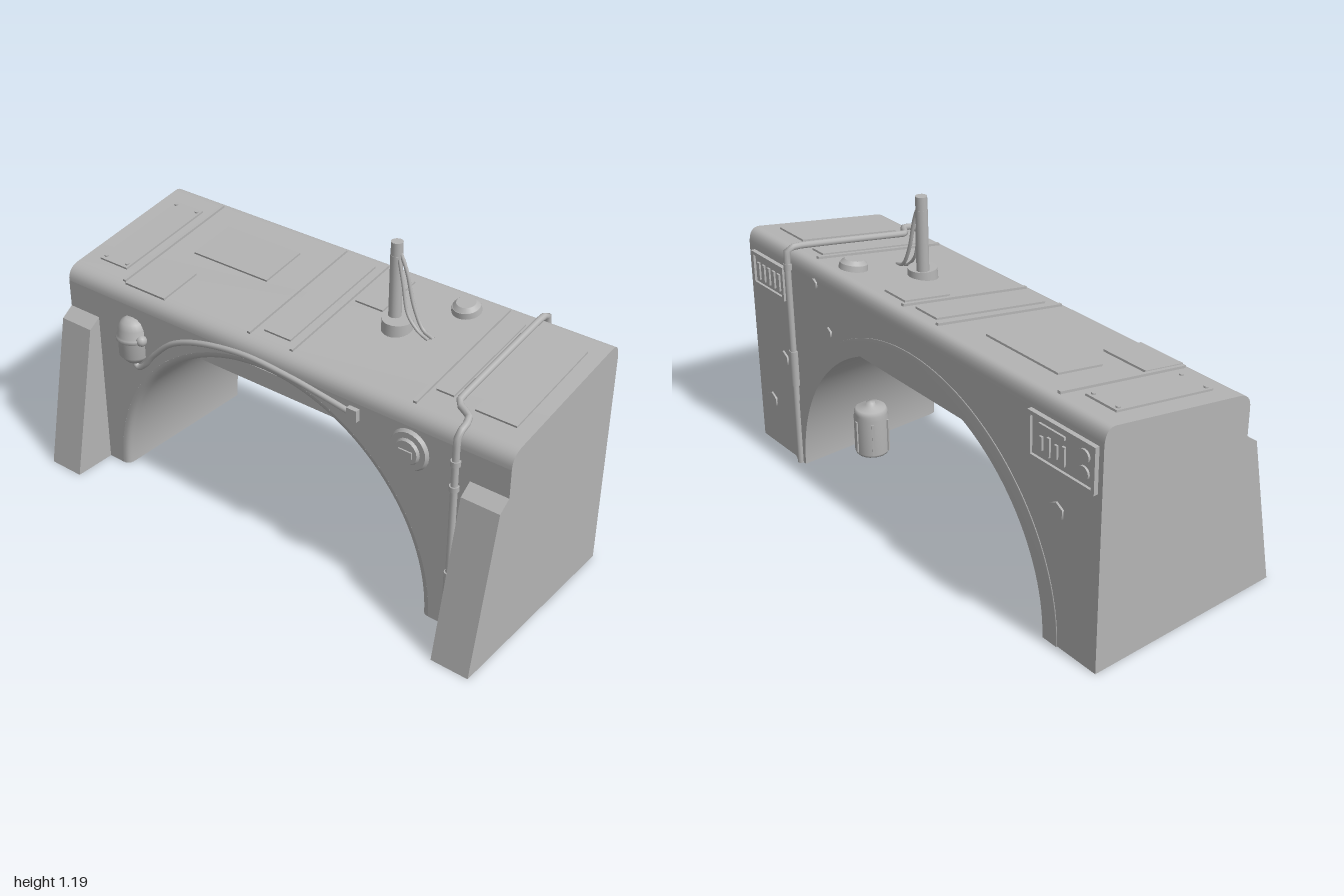
import * as THREE from 'three';

const grey = new THREE.MeshStandardMaterial({ color: 0xb4b4b4, side: THREE.DoubleSide });
grey.name = 'concrete grey';

const V3 = (p) => new THREE.Vector3(...p);
const V2 = (p) => new THREE.Vector2(...p);

function add(parent, name, geometry, x = 0, y = 0, z = 0) {
  const mesh = new THREE.Mesh(geometry, grey);
  mesh.name = name;
  mesh.position.set(x, y, z);
  parent.add(mesh);
  return mesh;
}
const box = (p, name, w, h, d, x, y, z) => add(p, name, new THREE.BoxGeometry(w, h, d), x, y, z);
const cyl = (p, name, r1, r2, h, x, y, z, n = 24) => add(p, name, new THREE.CylinderGeometry(r1, r2, h, n), x, y, z);
// Disc whose axis points along z
function disc(p, name, r1, r2, h, x, y, z, n = 24) {
  return add(p, name, new THREE.CylinderGeometry(r1, r2, h, n).rotateX(Math.PI / 2), x, y, z);
}
function tube(p, name, points, r, tension = 0.5) {
  const curve = new THREE.CatmullRomCurve3(points.map(V3), false, 'catmullrom', tension);
  return add(p, name, new THREE.TubeGeometry(curve, 80, r, 10), 0, 0, 0);
}

const FRONT = 0.255, BACK = -0.4, ARCH_X = -0.03, ARCH_R = 0.717;

// Wall with a round arch cut from its foot
function archWall(height, cx, r) {
  const s = new THREE.Shape();
  s.moveTo(-1, 0);
  s.lineTo(cx - r, 0);
  s.absarc(cx, 0, r, Math.PI, 0, true);
  s.lineTo(1, 0);
  s.lineTo(1, height);
  s.lineTo(-1, height);
  return new THREE.ShapeGeometry(s, 64);
}

function buildShell(g) {
  // Cross-section of the roof, from back to front, as (z, y)
  const back = new THREE.QuadraticBezierCurve(V2([BACK, 0.85]), V2([BACK, 0.922]), V2([-0.35, 0.913]));
  const front = new THREE.QuadraticBezierCurve(V2([0.2, 0.817]), V2([FRONT, 0.807]), V2([FRONT, 0.755]));
  const profile = [...back.getPoints(8), ...front.getPoints(8)];

  const roof = new THREE.PlaneGeometry(2, 1, 1, profile.length - 1);
  const pos = roof.attributes.position;
  for (let i = 0; i < pos.count; i++) {
    const p = profile[Math.floor(i / 2)];
    pos.setXYZ(i, pos.getX(i), p.y, p.x);
  }
  roof.computeVertexNormals();
  add(g, 'roof', roof);

  add(g, 'frontWall', archWall(0.755, ARCH_X, 0.747), 0, 0, FRONT);
  add(g, 'backWall', archWall(0.85, -ARCH_X, ARCH_R).rotateY(Math.PI), 0, 0, BACK);

  for (const s of [-1, 1]) {
    const pts = [[BACK, 0], ...profile.map((p) => [p.x, p.y]), [FRONT, 0]];
    const side = new THREE.ShapeGeometry(new THREE.Shape(pts.map(([z, y]) => V2([-s * z, y]))));
    add(g, 'sideWall', side.rotateY(s * Math.PI / 2), s, 0, 0);

    // Sloping buttress in front of each leg
    const b = new THREE.Shape([[FRONT, 0], [0.43, 0], [0.305, 0.61], [FRONT, 0.645]].map(V2));
    const buttress = new THREE.ExtrudeGeometry(b, { depth: 0.15, bevelEnabled: false });
    add(g, 'buttress', buttress.rotateY(-Math.PI / 2), s < 0 ? -0.85 : 1, 0, 0);
  }

  // Arch lining with a rounded front lip and a thin raised ring at the back
  const lip = new THREE.QuadraticBezierCurve(V2([0.747, FRONT]), V2([ARCH_R, FRONT]), V2([ARCH_R, 0.22])).getPoints(6);
  const lining = [...lip, V2([ARCH_R, -0.39]), V2([ARCH_R, -0.405])];
  const sweep = (pts) => new THREE.LatheGeometry(pts, 64, Math.PI / 2, Math.PI).rotateX(Math.PI / 2);
  add(g, 'archLining', sweep(lining), ARCH_X);
  add(g, 'archRing', sweep([V2([ARCH_R, -0.405]), V2([0.785, -0.405]), V2([0.785, BACK])]), ARCH_X);
  box(g, 'ceilingBeam', 0.72, 0.07, 0.6, ARCH_X + 0.03, 0.665, -0.08);
}

function buildRoofDetails(g) {
  // Tilted group whose y = 0 lies on the roof slope
  const roof = new THREE.Group();
  roof.name = 'roofDetails';
  roof.position.y = 0.852;
  roof.rotation.x = Math.atan(0.1745);
  g.add(roof);

  for (const x of [-0.745, -0.13, 0.065, 0.59]) box(roof, 'roofSeam', 0.014, 0.012, 0.57, x, 0.003, -0.075);
  const panels = [
    [-0.86, -0.07, 0.14, 0.44], [-0.45, -0.16, 0.36, 0.2], [-0.03, -0.08, 0.12, 0.5],
    [0.15, -0.23, 0.12, 0.2], [0.65, -0.1, 0.07, 0.44], [0.86, -0.08, 0.16, 0.44], [-0.63, 0.13, 0.2, 0.18],
  ];
  for (const [x, z, w, d] of panels) box(roof, 'roofPanel', w, 0.009, d, x, 0.003, z);
  for (const x of [-0.915, -0.805]) for (const z of [-0.27, 0.13]) cyl(roof, 'rivet', 0.008, 0.008, 0.008, x, 0.009, z, 8);

  cyl(roof, 'roofCapBase', 0.052, 0.055, 0.022, 0.46, 0.011, -0.29);
  cyl(roof, 'roofCap', 0.036, 0.05, 0.014, 0.46, 0.029, -0.29);

  // Mast and its hanging cables
  cyl(g, 'mastBase', 0.055, 0.058, 0.05, 0.305, 0.877, -0.085);
  cyl(g, 'mast', 0.023, 0.024, 0.25, 0.283, 1.015, -0.1, 16);
  cyl(g, 'mastTop', 0.022, 0.022, 0.06, 0.283, 1.16, -0.1, 16);
  tube(g, 'mastCable', [[0.3, 1.15, -0.1], [0.33, 1.08, -0.1], [0.36, 0.97, -0.1], [0.4, 0.89, -0.1], [0.45, 0.868, -0.095]], 0.007);
  tube(g, 'mastCable', [[0.3, 1.13, -0.09], [0.32, 1.04, -0.09], [0.345, 0.94, -0.085], [0.39, 0.885, -0.085], [0.44, 0.866, -0.08]], 0.006);
}

function buildPipe(g) {
  tube(g, 'pipe', [
    [0.715, 0, -0.41], [0.715, 0.4, -0.41], [0.715, 0.89, -0.41], [0.715, 0.923, -0.395], [0.715, 0.926, -0.36],
    [0.715, 0.9, -0.2], [0.715, 0.845, 0.12], [0.73, 0.837, 0.15], [0.785, 0.832, 0.18], [0.798, 0.824, 0.215],
    [0.798, 0.81, 0.252], [0.798, 0.77, 0.265], [0.798, 0.4, 0.265], [0.798, 0, 0.265],
  ], 0.013, 0.25);
  cyl(g, 'pipeSleeve', 0.018, 0.018, 0.15, 0.715, 0.425, -0.408, 12);
  cyl(g, 'pipeCollar', 0.017, 0.017, 0.025, 0.715, 0.855, -0.408, 12);
  for (const [y, h] of [[0.7, 0.02], [0.6, 0.02], [0.2, 0.1]]) cyl(g, 'pipeCollar', 0.018, 0.018, h, 0.798, y, 0.265, 12);
}

function buildFrontDetails(g) {
  // Small domed tank with its hose running along the arch
  const tank = [[0, 0], [0.035, 0], [0.045, 0.012], [0.06, 0.03], [0.06, 0.095], [0.068, 0.097], [0.068, 0.112],
    [0.06, 0.114], [0.058, 0.145], [0.045, 0.17], [0.025, 0.182], [0, 0.184]].map(V2);
  add(g, 'tank', new THREE.LatheGeometry(tank, 24), -0.668, 0.527, 0.252);
  add(g, 'tankValve', new THREE.SphereGeometry(0.022, 12, 8), -0.61, 0.635, 0.27);
  tube(g, 'hose', [
    [-0.668, 0.535, 0.262], [-0.645, 0.505, 0.264], [-0.605, 0.53, 0.264], [-0.55, 0.595, 0.264], [-0.45, 0.68, 0.264],
    [-0.3, 0.735, 0.264], [-0.1, 0.762, 0.262], [0.1, 0.752, 0.262], [0.25, 0.733, 0.262], [0.37, 0.715, 0.262],
  ], 0.011);
  box(g, 'hoseSocket', 0.042, 0.046, 0.025, 0.38, 0.715, 0.262);

  // Round port on the front wall
  disc(g, 'portRim', 0.072, 0.08, 0.014, 0.61, 0.665, 0.261);
  disc(g, 'portRing', 0.045, 0.052, 0.014, 0.61, 0.665, 0.272, 16);
  box(g, 'portLatch', 0.055, 0.026, 0.008, 0.61, 0.663, 0.281);

  // Barrel standing inside the arch
  const barrel = [[0, 0], [0.066, 0], [0.07, 0.01], [0.07, 0.165], [0.064, 0.175], [0.068, 0.185], [0.06, 0.2],
    [0.02, 0.205], [0.018, 0.222], [0, 0.224]].map(V2);
  add(g, 'barrel', new THREE.LatheGeometry(barrel, 24), 0.608, 0, -0.135);
  for (let i = 0; i < 6; i++) {
    const a = (i * Math.PI) / 3;
    const rib = box(g, 'barrelRib', 0.01, 0.14, 0.012, 0.608 + 0.07 * Math.sin(a), 0.085, -0.135 + 0.07 * Math.cos(a));
    rib.rotation.y = a;
  }
}

// Framed plate on the back wall
function backFrame(g, name, x, y, w, h) {
  box(g, name, w, h, 0.008, x, y, BACK - 0.003);
  for (const s of [-1, 1]) {
    box(g, name + 'Edge', w, 0.014, 0.018, x, y + s * (h / 2 - 0.007), BACK - 0.008);
    box(g, name + 'Edge', 0.014, h, 0.018, x + s * (w / 2 - 0.007), y, BACK - 0.008);
  }
}

function buildBackDetails(g) {
  backFrame(g, 'vent', 0.855, 0.77, 0.22, 0.14);
  for (let i = 0; i < 5; i++) box(g, 'ventBar', 0.016, 0.07, 0.014, 0.785 + i * 0.035, 0.765, BACK - 0.008);

  backFrame(g, 'controlPanel', -0.825, 0.765, 0.31, 0.17);
  for (let i = 0; i < 4; i++) box(g, 'controlBar', 0.013, 0.05 + 0.02 * (i % 2), 0.014, -0.73 - i * 0.035, 0.75, BACK - 0.008);
  for (const y of [0.795, 0.735]) disc(g, 'controlDial', 0.025, 0.025, 0.014, -0.925, y, BACK - 0.008, 16);
  box(g, 'controlStrip', 0.12, 0.012, 0.014, -0.78, 0.815, BACK - 0.008);

  for (const [x, y, r] of [[0.55, 0.84, 0.022], [0.47, 0.67, 0.022], [-0.8, 0.53, 0.035], [0.91, 0.2, 0.034], [0.8, 0.43, 0.034]])
    disc(g, 'backBolt', r, r, 0.01, x, y, BACK - 0.003, 6);
}

export function createModel() {
  const g = new THREE.Group();
  g.name = 'archedBridge';
  buildShell(g);
  buildRoofDetails(g);
  buildPipe(g);
  buildFrontDetails(g);
  buildBackDetails(g);
  return g;
}
